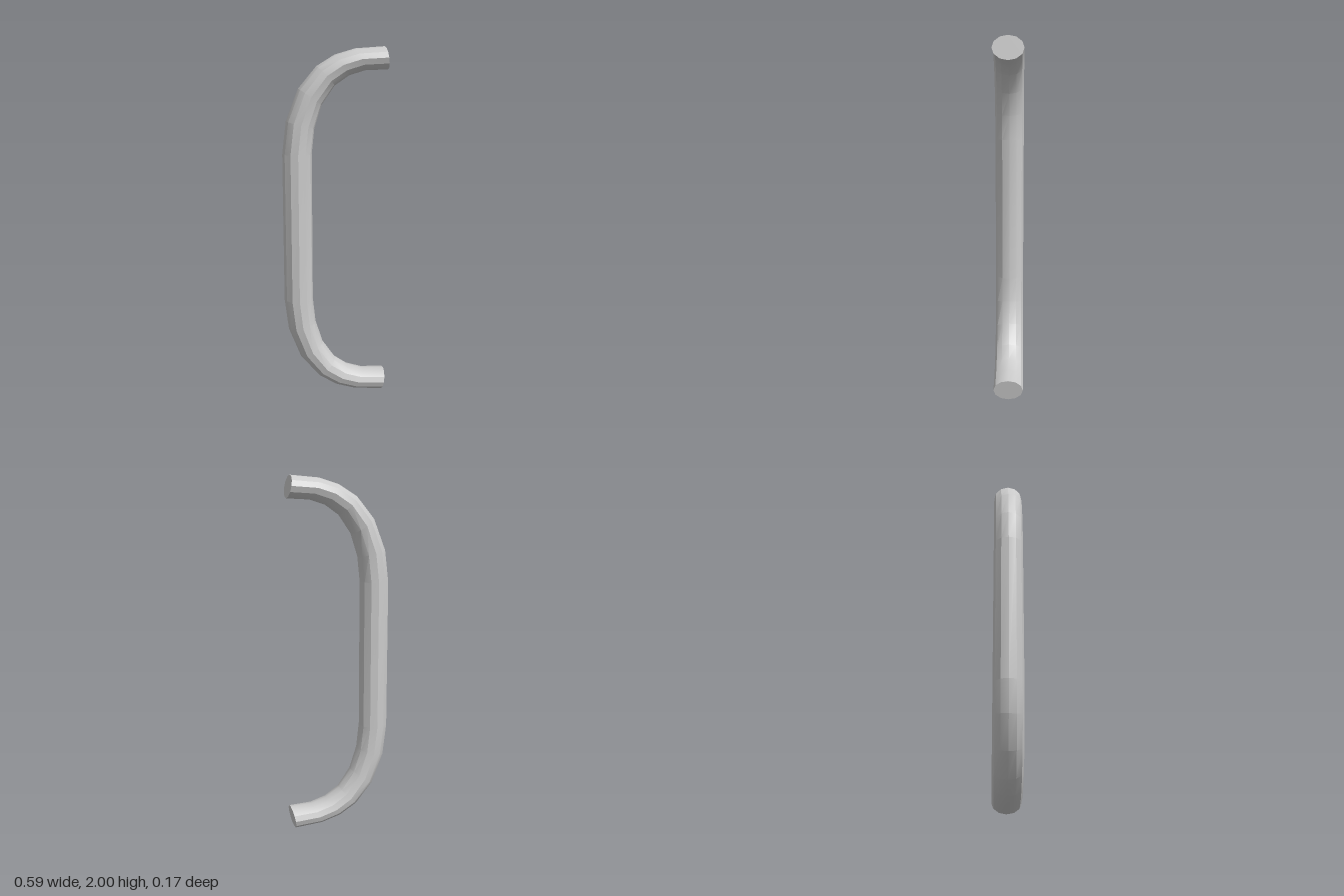
import * as THREE from 'three';
import { toCreasedNormals } from 'three/addons/utils/BufferGeometryUtils.js';

const SIDES = 12;
const HALF_DEPTH = 0.083;

// Upper bend: outer (x, y) and inner (x, y) edge of each cross-section
const BEND = [
  [-0.294, 1.42, -0.13, 1.42],
  [-0.272, 1.6, -0.115, 1.56],
  [-0.203, 1.775, -0.075, 1.686],
  [-0.103, 1.894, -0.003, 1.79],
  [-0.003, 1.955, 0.077, 1.845],
  [0.11, 1.988, 0.165, 1.872],
  [0.272, 2.0, 0.292, 1.877],
];

// Sweep an oval ring through the sections and close both ends
function sweep(sections) {
  const positions = [];
  const index = [];
  for (const [ox, oy, ix, iy] of sections) {
    for (let j = 0; j < SIDES; j++) {
      const a = (j / SIDES) * Math.PI * 2;
      const t = (1 - Math.cos(a)) / 2;
      positions.push(ox + (ix - ox) * t, oy + (iy - oy) * t, HALF_DEPTH * Math.sin(a));
    }
  }
  const last = (sections.length - 1) * SIDES;
  for (let j = 0; j < SIDES; j++) {
    const k = (j + 1) % SIDES;
    for (let r = 0; r < last; r += SIDES) {
      index.push(r + j, r + k, r + SIDES + k, r + j, r + SIDES + k, r + SIDES + j);
    }
    // End caps, fanned from the first corner of each ring
    if (j > 0 && k > 0) {
      index.push(0, k, j, last, last + j, last + k);
    }
  }
  const geometry = new THREE.BufferGeometry();
  geometry.setAttribute('position', new THREE.Float32BufferAttribute(positions, 3));
  geometry.setIndex(index);
  return toCreasedNormals(geometry, 0.52);
}

export function createModel() {
  const group = new THREE.Group();
  group.name = 'pullHandle';

  // The lower bend mirrors the upper one; the straight grip joins them
  const lower = BEND.map(([ox, oy, ix, iy]) => [ox, 2 - oy, ix, 2 - iy]).reverse();
  const bar = new THREE.Mesh(
    sweep([...lower, ...BEND]),
    new THREE.MeshStandardMaterial({ color: 0xcccccc })
  );
  bar.name = 'handleBar';
  group.add(bar);
  return group;
}
